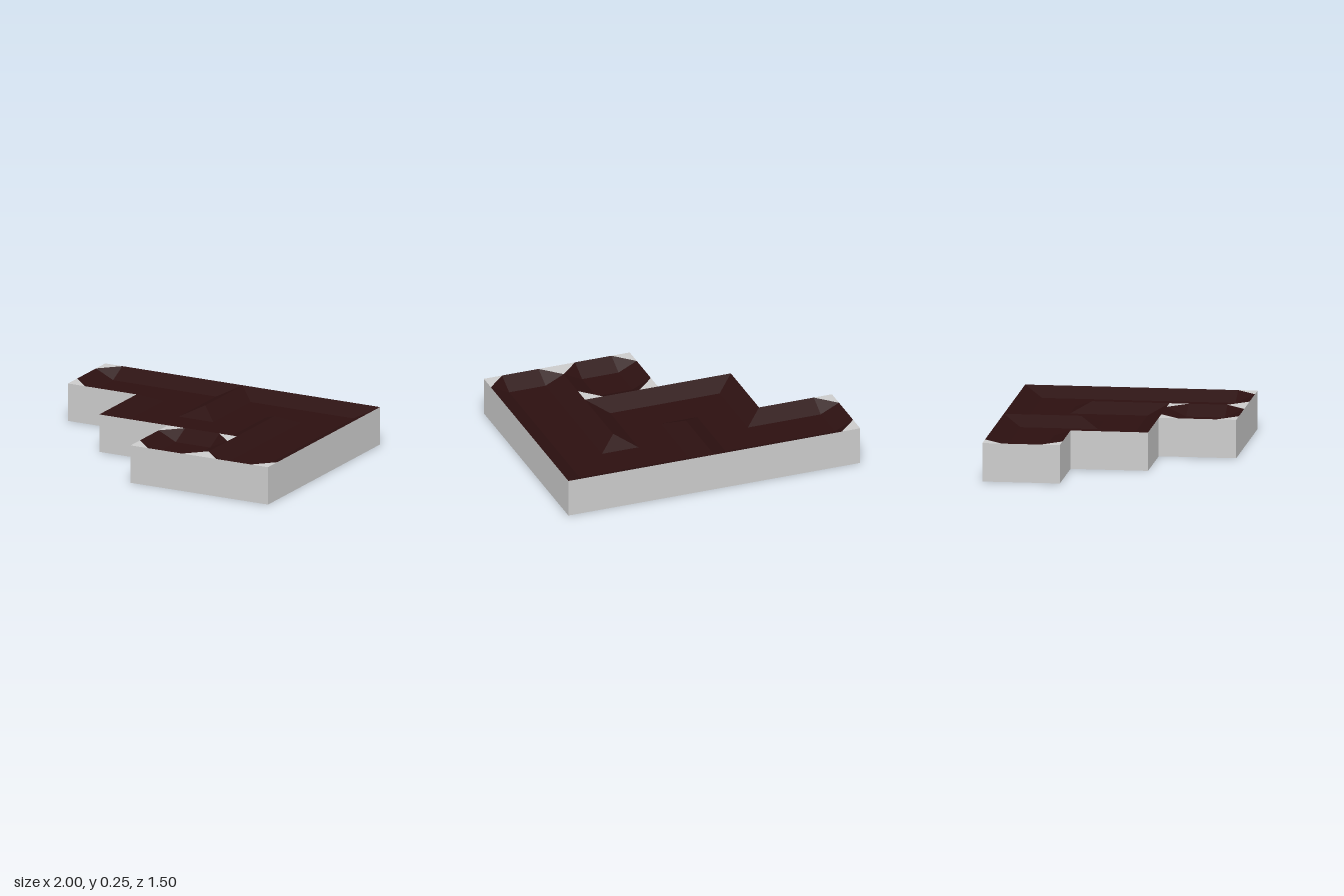
import * as THREE from 'three';

const TOP = 0.25, DEPTH = 0.06, HALF = 0.25, INSET = 0.125;
const grey = new THREE.MeshStandardMaterial({ color: 0xcccccc, flatShading: true });
const dark = new THREE.MeshStandardMaterial({ color: 0x2c1010, flatShading: true });

// Triangle list that can turn a face to look up (+1) or down (-1)
class Surface {
  constructor() { this.data = []; }
  tri(a, b, c, facing = 0) {
    const ny = (b.z - a.z) * (c.x - a.x) - (b.x - a.x) * (c.z - a.z);
    if (ny * facing < 0) [b, c] = [c, b];
    for (const p of [a, b, c]) this.data.push(p.x, p.y, p.z);
  }
  quad(a, b, c, d, facing = 0) {
    this.tri(a, b, c, facing);
    this.tri(a, c, d, facing);
  }
  fill(points, facing) {
    const flat = points.map(p => new THREE.Vector2(p.x, p.z));
    for (const [i, j, k] of THREE.ShapeUtils.triangulateShape(flat, []))
      this.tri(points[i], points[j], points[k], facing);
  }
  mesh(name, material) {
    const g = new THREE.BufferGeometry();
    g.setAttribute('position', new THREE.Float32BufferAttribute(this.data, 3));
    g.computeVertexNormals();
    const m = new THREE.Mesh(g, material);
    m.name = name;
    return m;
  }
}

const V = (x, y, z) => new THREE.Vector3(x, y, z);
const isBend = (p, u, v) => u.x * v.x + u.z * v.z < 0.5;

// Carved channel along a path of right-angled steps: sloped sides, flat floor,
// chamfered ends whose corners stay level with the rim
function carveChannel(name, path, startDir, endDir, group) {
  const rim = [], floor = [], corners = new Surface(), basin = new Surface();
  const at = (p, n, a, d, b, y) => V(p.x + n.x * a + d.x * b, y, p.z + n.z * a + d.z * b);
  const add = (outer, inner) => { rim.push(outer); floor.push(inner); };
  const left = d => V(d.z, 0, -d.x);

  // Offsets of the inner bends on one side
  const side = (pts, first) => {
    let d = first;
    for (let i = 1; i < pts.length - 1; i++) {
      const next = pts[i + 1].clone().sub(pts[i]).normalize();
      if (isBend(pts[i], d, next)) {
        const m = left(d).add(left(next));
        add(at(pts[i], m, HALF, m, 0, TOP), at(pts[i], m, INSET, m, 0, TOP - DEPTH));
      }
      d = next;
    }
  };
  // Chamfered end, walked from its left to its right corner
  const cap = (p, d) => {
    for (const s of [1, -1]) {
      const n = left(d).multiplyScalar(s);
      const inner = at(p, n, INSET, d, INSET, TOP - DEPTH);
      const a = at(p, n, HALF, d, INSET, TOP), b = at(p, n, INSET, d, HALF, TOP);
      add(s > 0 ? a : b, inner);
      add(s > 0 ? b : a, inner);
      corners.tri(a, b, at(p, n, HALF, d, HALF, TOP), 1);
    }
  };

  side(path, startDir);
  cap(path[path.length - 1], endDir);
  side([...path].reverse(), endDir.clone().negate());
  cap(path[0], startDir.clone().negate());

  rim.forEach((a, i) => {
    const j = (i + 1) % rim.length;
    // Skip the zero-area half where neighbouring points coincide
    if (floor[i].distanceTo(floor[j]) > 1e-6) basin.tri(a, floor[i], floor[j], 1);
    if (a.distanceTo(rim[j]) > 1e-6) basin.tri(a, floor[j], rim[j], 1);
  });
  basin.fill(floor.filter((p, i) => p.distanceTo(floor[(i + 1) % floor.length]) > 1e-6), 1);
  group.add(basin.mesh(name, dark), corners.mesh(name + 'Corners', grey));
}

export function createModel() {
  const group = new THREE.Group();
  group.name = 'steppedTile';

  // Stepped base: walls and underside
  const outline = [[-1, -0.75], [1, -0.75], [1, 0.75], [0, 0.75], [0, 0.25], [-0.5, 0.25], [-0.5, -0.25], [-1, -0.25]];
  const base = new Surface();
  outline.forEach(([x, z], i) => {
    const [x2, z2] = outline[(i + 1) % outline.length];
    base.quad(V(x, 0, z), V(x, TOP, z), V(x2, TOP, z2), V(x2, 0, z2));
  });
  base.fill(outline.map(([x, z]) => V(x, 0, z)), -1);
  group.add(base.mesh('base', grey));

  // Long winding channel
  const winding = [[-0.75, -0.5], [-0.25, -0.5], [-0.25, 0], [0.25, 0], [0.25, -0.5], [0.75, -0.5], [0.75, 0.5]];
  carveChannel('windingChannel', winding.map(([x, z]) => V(x, 0, z)), V(1, 0, 0), V(0, 0, 1), group);

  // Single octagonal basin
  carveChannel('octagonBasin', [V(0.25, 0, 0.5)], V(0, 0, 1), V(0, 0, 1), group);
  return group;
}
